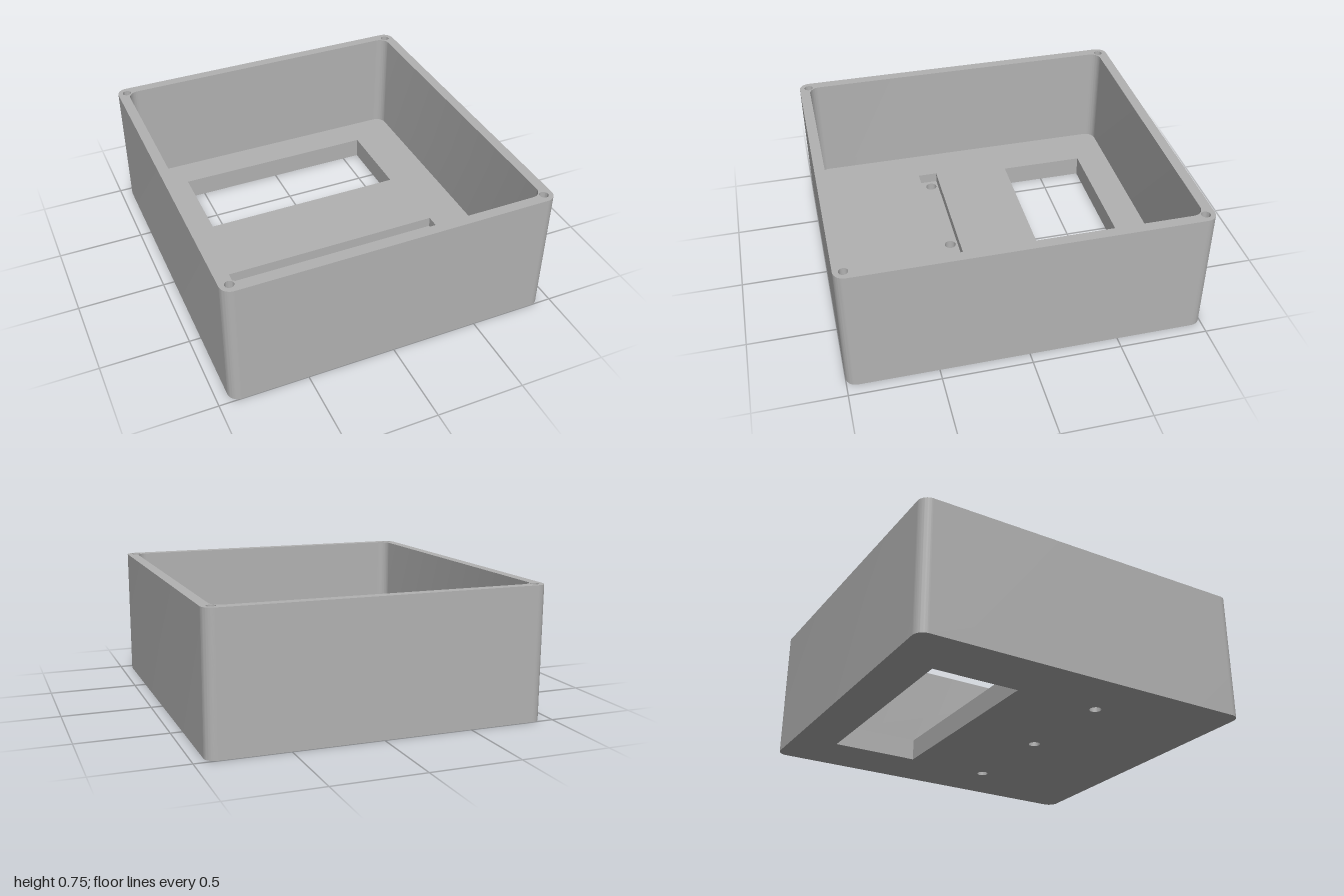
import * as THREE from 'three';
import { toCreasedNormals } from 'three/addons/utils/BufferGeometryUtils.js';

const SEG = 12;
const H = 0.75, FLOOR = 0.125, SLOT = 0.0625; // rim, floor top, slot bottom heights

// Rounded rectangle outline in plan (shape y is -z), counter-clockwise
function rect(x0, x1, z0, z1, r = 0) {
  const s = new THREE.Shape();
  const b = -z1, t = -z0, q = Math.PI / 2;
  if (r === 0) {
    s.moveTo(x0, b).lineTo(x1, b).lineTo(x1, t).lineTo(x0, t).lineTo(x0, b);
    return s;
  }
  s.moveTo(x0 + r, b).lineTo(x1 - r, b);
  s.absarc(x1 - r, b + r, r, -q, 0, false);
  s.lineTo(x1, t - r);
  s.absarc(x1 - r, t - r, r, 0, q, false);
  s.lineTo(x0 + r, t);
  s.absarc(x0 + r, t - r, r, q, 2 * q, false);
  s.lineTo(x0, b + r);
  s.absarc(x0 + r, b + r, r, 2 * q, 3 * q, false);
  return s;
}

function circle(x, z, r) {
  return new THREE.Shape().absarc(x, -z, r, 0, Math.PI * 2, false);
}

// Reverse the facing of an indexed geometry
function flip(geo) {
  const a = geo.index.array;
  for (let i = 0; i < a.length; i += 3) [a[i + 1], a[i + 2]] = [a[i + 2], a[i + 1]];
  geo.computeVertexNormals();
  return geo;
}

// Flat horizontal face with holes
function face(outline, holes, y, up = true) {
  const s = outline.clone();
  s.holes = holes;
  const g = new THREE.ShapeGeometry(s, SEG).rotateX(-Math.PI / 2).translate(0, y, 0);
  return up ? g : flip(g);
}

// Vertical wall following an outline, facing out or in
function wall(outline, y0, y1, inward = false) {
  const p = outline.getPoints(SEG), v = [];
  p.forEach((a, i) => {
    const b = p[(i + 1) % p.length];
    if (a.distanceTo(b) < 1e-6) return;
    const [m, n] = inward ? [b, a] : [a, b];
    v.push(m.x, y0, -m.y, n.x, y0, -n.y, n.x, y1, -n.y);
    v.push(m.x, y0, -m.y, n.x, y1, -n.y, m.x, y1, -m.y);
  });
  const g = new THREE.BufferGeometry();
  g.setAttribute('position', new THREE.Float32BufferAttribute(v, 3));
  return toCreasedNormals(g, 0.6);
}

export function createModel() {
  const model = new THREE.Group();
  model.name = 'enclosure';
  const plastic = new THREE.MeshStandardMaterial({ color: 0xb2b2b2 });
  plastic.name = 'grey plastic';
  const add = (name, geo) => {
    const m = new THREE.Mesh(geo, plastic);
    m.name = name;
    model.add(m);
    return m;
  };

  const outer = rect(-0.935, 0.935, -1, 1, 0.06);
  const cavity = rect(-0.877, 0.877, -0.942, 0.942, 0.06);
  const display = rect(-0.605, 0.603, -0.752, -0.25);
  const slot = rect(-0.66, 0.647, 0.202, 0.317);
  const buttons = [-0.607, 0, 0.605].map((x) => circle(x, 0.247, 0.033));
  const screwR = 0.025, screwBottom = 0.45;
  const screwAt = [];
  for (const x of [-0.882, 0.882]) for (const z of [-0.946, 0.946]) screwAt.push([x, z]);
  const screws = screwAt.map(([x, z]) => circle(x, z, screwR));

  // Shell
  add('outerWall', wall(outer, 0, H));
  add('innerWall', wall(cavity, FLOOR, H, true));
  add('rim', face(outer, [cavity, ...screws], H));
  add('underside', face(outer, [display, ...buttons], 0, false));
  add('floor', face(cavity, [display, slot], FLOOR));

  // Display opening through the floor
  add('displayOpening', wall(display, 0, FLOOR, true));

  // Recessed slot with three button holes
  add('slotWall', wall(slot, SLOT, FLOOR, true));
  add('slotBottom', face(slot, buttons, SLOT));
  buttons.forEach((b) => add('buttonHole', wall(b, 0, SLOT, true)));

  // Blind screw holes with drilled conical ends
  screws.forEach((s, i) => {
    const [x, z] = screwAt[i];
    add('screwHole', wall(s, screwBottom, H, true));
    const tip = flip(new THREE.CylinderGeometry(screwR, 0, 0.015, SEG * 2, 1, true));
    add('screwHoleTip', tip).position.set(x, screwBottom - 0.0075, z);
  });

  return model;
}
